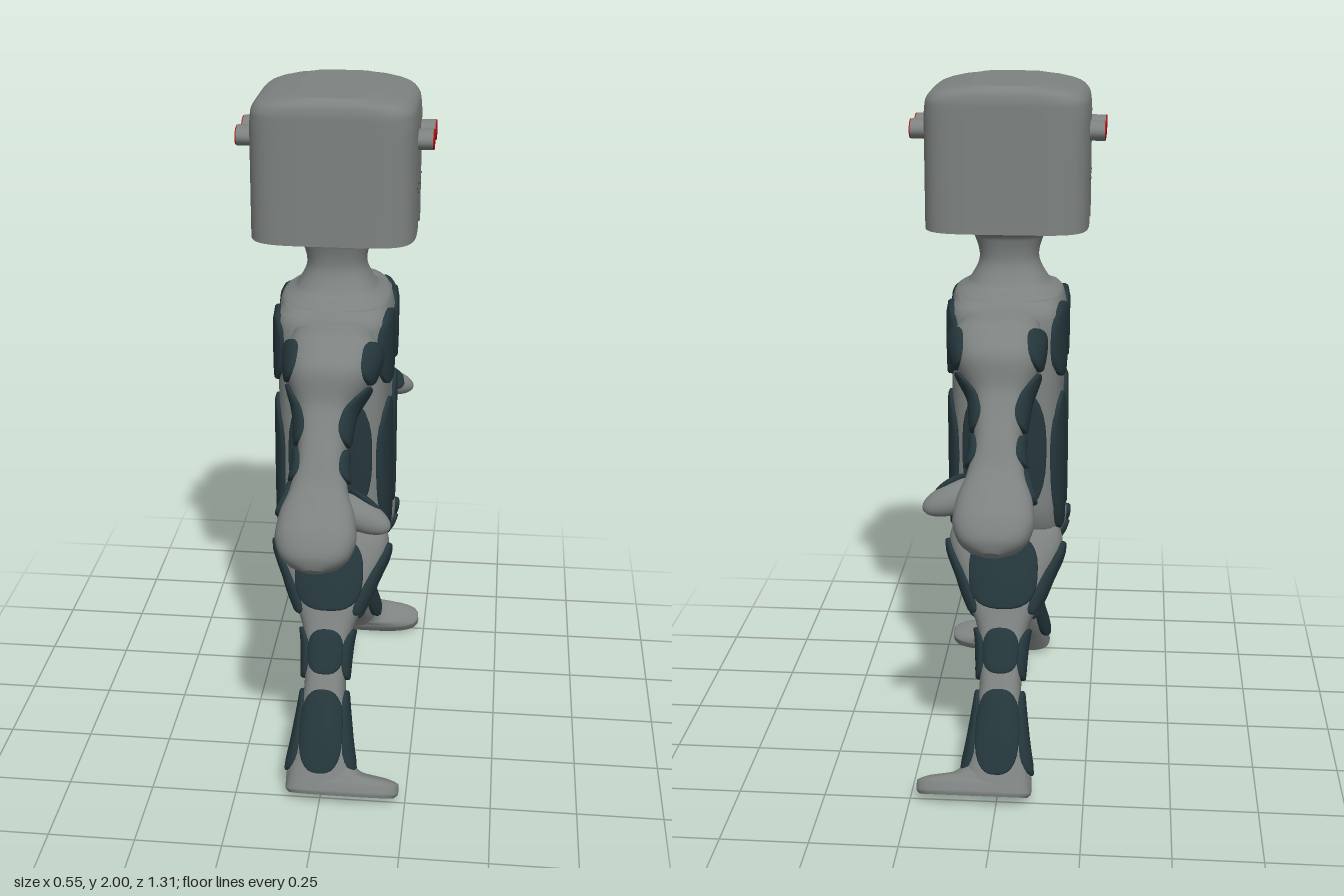
import * as THREE from 'three';

const grey = new THREE.MeshStandardMaterial({ color: 0x7d8280, side: THREE.DoubleSide });
const dark = new THREE.MeshStandardMaterial({ color: 0x24363b, side: THREE.DoubleSide });
const red = new THREE.MeshStandardMaterial({ color: 0xb01015 });

// Smooth (monotone) interpolation of keys [y, halfX, halfZ, centreX, centreZ], ascending y
function sectionAt(keys, y) {
  const last = keys.length - 1;
  y = THREE.MathUtils.clamp(y, keys[0][0], keys[last][0]);
  let i = 0;
  while (i < last - 1 && y > keys[i + 1][0]) i++;
  const h = keys[i + 1][0] - keys[i][0], t = (y - keys[i][0]) / h;
  const val = (k, c) => keys[k][c] ?? 0;
  const rise = (k, c) => (val(k + 1, c) - val(k, c)) / (keys[k + 1][0] - keys[k][0]);
  const slope = (k, c) => {
    if (k === 0) return rise(0, c);
    if (k === last) return rise(last - 1, c);
    const a = rise(k - 1, c), b = rise(k, c);
    return a * b <= 0 ? 0 : (2 * a * b) / (a + b);
  };
  return [1, 2, 3, 4].map((c) => {
    const t2 = t * t, t3 = t2 * t;
    return (2 * t3 - 3 * t2 + 1) * val(i, c) + (t3 - 2 * t2 + t) * h * slope(i, c)
      + (3 * t2 - 2 * t3) * val(i + 1, c) + (t3 - t2) * h * slope(i + 1, c);
  });
}

// Joins rows of equal point counts into a closed strip surface
function skin(rows) {
  const n = rows[0].length, pos = rows.flat(2), idx = [];
  for (let i = 0; i < rows.length - 1; i++) {
    for (let j = 0; j < n; j++) {
      const a = i * n + j, b = i * n + (j + 1) % n;
      idx.push(a, a + n, b, b, a + n, b + n);
    }
  }
  const g = new THREE.BufferGeometry();
  g.setAttribute('position', new THREE.Float32BufferAttribute(pos, 3));
  g.setIndex(idx);
  g.computeVertexNormals();
  return g;
}

// Rounded-square cross-sections stacked along y, capped at both ends
function loft({ keys, n }, segs = 64, steps = 48, warp = (p) => p) {
  const y0 = keys[0][0], y1 = keys[keys.length - 1][0];
  const row = (y, s) => {
    const [hx, hz, cx, cz] = sectionAt(keys, y);
    return Array.from({ length: segs }, (_, j) => {
      const a = (j / segs) * Math.PI * 2, c = Math.cos(a), d = Math.sin(a);
      const r = s * (Math.abs(c / hx) ** n + Math.abs(d / hz) ** n) ** (-1 / n);
      return warp([cx + r * c, y, cz + r * d]);
    });
  };
  const rows = [];
  for (let k = 0; k <= 6; k++) rows.push(row(y0, k / 6));
  for (let k = 0; k <= steps; k++) rows.push(row(y0 + ((y1 - y0) * k) / steps, 1));
  for (let k = 6; k >= 0; k--) rows.push(row(y1, k / 6));
  return skin(rows);
}

// Raised plate hugging a lofted surface; axis 'x' or 'z', u runs across, v along y
function plate({ keys, n }, axis, sign, u, v, hu, hv, tilt = 0) {
  const point = (r, a, lift) => {
    const c = Math.cos(a), s = Math.sin(a);
    const k = r * (Math.abs(c) ** 2.7 + Math.abs(s) ** 2.7) ** (-1 / 2.7);
    const du = k * c * hu, dv = k * s * hv;
    const pu = u + du * Math.cos(tilt) - dv * Math.sin(tilt);
    const pv = v + du * Math.sin(tilt) + dv * Math.cos(tilt);
    const [hx, hz, cx, cz] = sectionAt(keys, pv);
    const [h, w, ch, cw] = axis === 'x' ? [hx, hz, cx, cz] : [hz, hx, cz, cx];
    const f = Math.max(0.12, 1 - Math.abs((pu - cw) / w) ** n) ** (1 / n);
    const out = ch + sign * (h * f + lift);
    return axis === 'x' ? [out, pv, pu] : [pu, pv, out];
  };
  const rows = [[0.001, 0.014], [0.35, 0.014], [0.7, 0.014], [0.95, 0.013], [1, 0.009], [1, 0.009], [1.02, -0.015]];
  return skin(rows.map(([r, l]) => Array.from({ length: 36 }, (_, j) => point(r, (j / 36) * Math.PI * 2, l))));
}

function add(parent, name, geometry, material = grey) {
  const m = new THREE.Mesh(geometry, material);
  m.name = name;
  parent.add(m);
  return m;
}

const head = { n: 5, keys: [[1.6, 0.23, 0.22], [1.9, 0.23, 0.22], [1.95, 0.226, 0.22], [1.975, 0.21, 0.216],
  [1.99, 0.17, 0.208], [2, 0.1, 0.19]] };
const neck = { n: 2.6, keys: [[1.36, 0.165, 0.2], [1.4, 0.155, 0.17], [1.43, 0.115, 0.115], [1.5, 0.085, 0.085],
  [1.56, 0.1, 0.095], [1.6, 0.14, 0.14]] };
const torso = { n: 5, keys: [[0.61, 0.13, 0.02], [0.66, 0.15, 0.1], [0.715, 0.158, 0.185], [0.8, 0.158, 0.207],
  [1.1, 0.158, 0.21], [1.3, 0.16, 0.21], [1.37, 0.16, 0.2], [1.4, 0.14, 0.17]] };
const leg = { n: 3, keys: [[-0.77, 0.1, 0.05], [-0.7, 0.092, 0.056], [-0.6, 0.075, 0.068], [-0.46, 0.06, 0.066],
  [-0.34, 0.066, 0.066], [-0.17, 0.125, 0.083], [-0.04, 0.168, 0.088], [0, 0.16, 0.08], [0.03, 0.12, 0.05]] };
const foot = { n: 2.8, keys: [[-0.782, 0.155, 0.044, 0.065], [-0.77, 0.166, 0.052, 0.065], [-0.745, 0.166, 0.053, 0.065],
  [-0.73, 0.15, 0.05, 0.05], [-0.715, 0.11, 0.05, 0.012], [-0.69, 0.092, 0.05]] };
const arm = { n: 2.6, keys: [[-0.615, 0.025, 0.02], [-0.6, 0.065, 0.045], [-0.57, 0.095, 0.06], [-0.52, 0.11, 0.068],
  [-0.46, 0.103, 0.062], [-0.39, 0.08, 0.056], [-0.3, 0.066, 0.07], [-0.18, 0.075, 0.08, 0, 0.01],
  [-0.08, 0.115, 0.108, 0.01, 0.035], [0, 0.128, 0.105, 0.015, 0.03], [0.06, 0.11, 0.08, 0.01, 0.02]] };

function buildHead() {
  const g = new THREE.Group();
  g.name = 'head';
  // Cusp-shaped mouth groove runs under the head from face to face
  const groove = ([x, y, z]) => [x, y + 0.06 * Math.exp(-Math.abs(z) / 0.016) * Math.max(0, (1.72 - y) / 0.12), z];
  add(g, 'skull', loft(head, 160, 60, groove));
  for (const sx of [1, -1]) for (const sz of [1, -1]) {
    // Eye stalk with a red lens
    const stalk = add(g, 'eyeStalk', new THREE.CylinderGeometry(0.028, 0.028, 0.08, 32));
    const lens = add(g, 'eyeLens', new THREE.CylinderGeometry(0.027, 0.027, 0.006, 32), red);
    for (const [m, x] of [[stalk, 0.23], [lens, 0.27]]) {
      m.rotation.z = -sx * Math.PI / 2;
      m.scale.z = 1.5;
      m.position.set(sx * x, 1.865, sz * 0.058);
    }
    for (const [z, y] of [[0.09, 1.735], [0.05, 1.715], [0.03, 1.735]]) {
      add(g, 'faceDot', new THREE.SphereGeometry(0.003, 8, 6), dark).position.set(sx * 0.229, y, sz * z);
    }
  }
  return g;
}

function buildTorso() {
  const g = new THREE.Group();
  g.name = 'torso';
  add(g, 'trunk', loft(torso));
  add(g, 'neck', loft(neck));
  for (const s of [1, -1]) {
    for (const sx of [1, -1]) {
      add(g, 'chestPlate', plate(torso, 'x', sx, s * 0.106, 1.28, 0.085, 0.105), dark);
      add(g, 'bellyPlate', plate(torso, 'x', sx, s * 0.106, 0.91, 0.08, 0.21, -s * 0.05), dark);
    }
    add(g, 'sidePlate', plate(torso, 'z', s, 0, 0.97, 0.12, 0.2), dark);
  }
  return g;
}

function buildLeg() {
  const g = new THREE.Group();
  g.name = 'leg';
  add(g, 'legBody', loft(leg));
  add(g, 'foot', loft(foot, 64, 24));
  for (const sx of [1, -1]) {
    for (const [u, v, hu, hv, tilt] of [[0.032, -0.15, 0.028, 0.11, 0.1], [-0.036, -0.16, 0.028, 0.105, -0.08],
      [0, -0.375, 0.054, 0.075, 0], [0.003, -0.6, 0.05, 0.12, 0]]) {
      add(g, 'legPlate', plate(leg, 'x', sx, u, v, hu, hv, tilt), dark);
    }
  }
  for (const [v, hu, hv] of [[-0.14, 0.1, 0.11], [-0.37, 0.052, 0.065], [-0.6, 0.063, 0.12]]) {
    add(g, 'outerLegPlate', plate(leg, 'z', 1, 0, v, hu, hv), dark);
  }
  g.position.set(0, 0.692, 0.107);
  g.rotation.x = -0.541;
  return g;
}

function buildArm() {
  const g = new THREE.Group();
  g.name = 'arm';
  add(g, 'armAndHand', loft(arm));
  for (const sx of [1, -1]) {
    for (const [u, v, hu, hv] of [[0.07, -0.04, 0.05, 0.058], [0.022, -0.18, 0.05, 0.085], [0.008, -0.32, 0.04, 0.045]]) {
      add(g, 'armPlate', plate(arm, 'x', sx, u, v, hu, hv), dark);
    }
  }
  add(g, 'wristPlate', plate(arm, 'x', -1, -0.015, -0.41, 0.035, 0.05), dark);
  // Thumb points forward, with a plate near its root
  const thumb = add(g, 'thumb', new THREE.SphereGeometry(1, 32, 20));
  thumb.scale.set(0.105, 0.045, 0.042);
  thumb.position.set(0.1, -0.435, -0.035);
  thumb.rotation.z = -0.4;
  const cover = add(g, 'thumbPlate', new THREE.SphereGeometry(1, 32, 16), dark);
  cover.scale.set(0.055, 0.014, 0.04);
  cover.position.set(0.125, -0.402, -0.04);
  cover.rotation.z = -0.6;
  g.position.set(0, 1.28, 0.22);
  g.rotation.x = -0.735;
  return g;
}

export function createModel() {
  const model = new THREE.Group();
  model.name = 'robot';
  model.add(buildHead(), buildTorso());
  // The limbs are mirrored across z
  for (const s of [1, -1]) {
    const limbs = new THREE.Group();
    limbs.name = s > 0 ? 'limbsNear' : 'limbsFar';
    limbs.add(buildLeg(), buildArm());
    limbs.scale.z = s;
    model.add(limbs);
  }
  return model;
}
